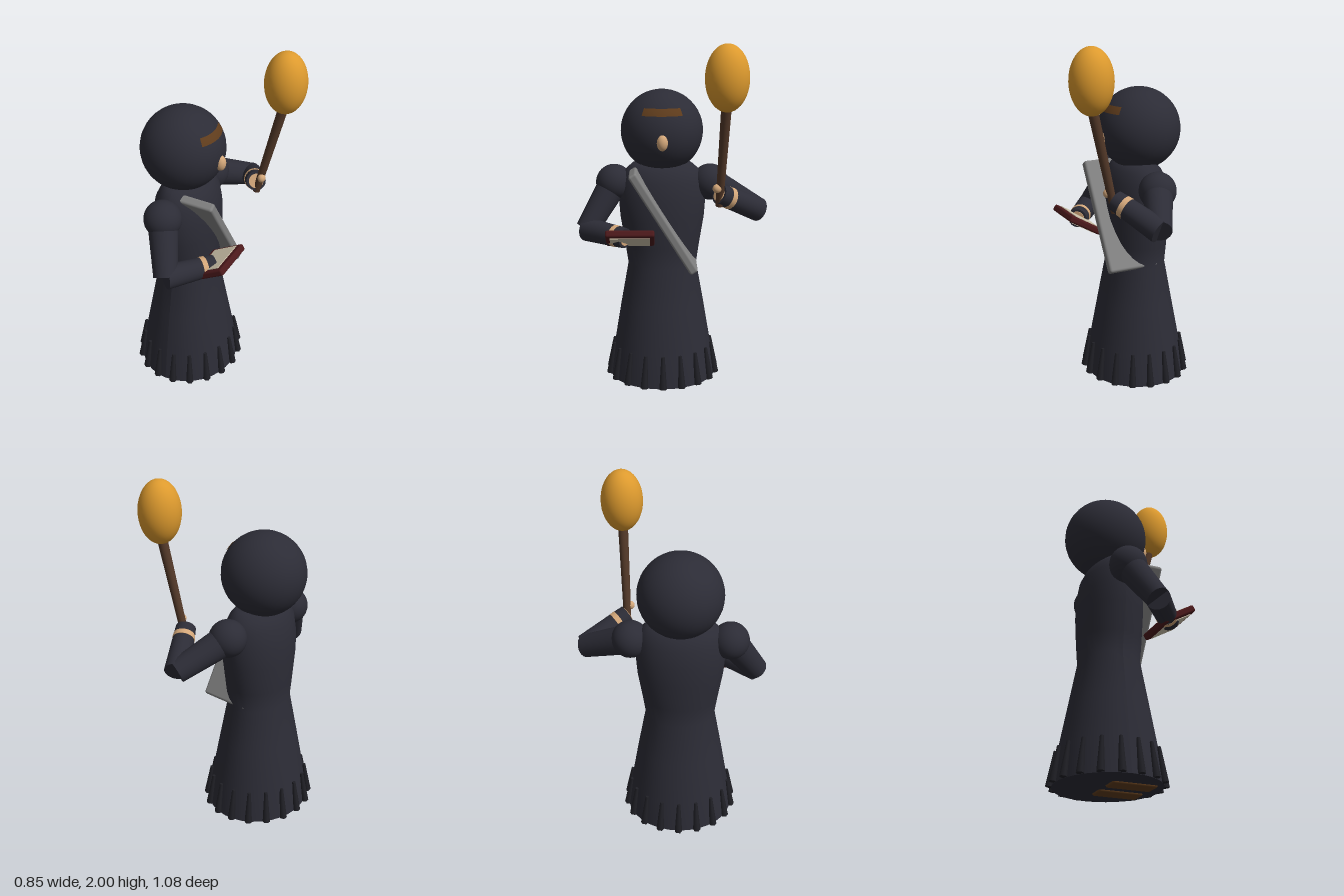
import * as THREE from 'three';
import { RoundedBoxGeometry } from 'three/addons/geometries/RoundedBoxGeometry.js';

const mat = (name, color, side = THREE.FrontSide) => {
  const m = new THREE.MeshStandardMaterial({ color, side });
  m.name = name;
  return m;
};

export function createModel() {
  const model = new THREE.Group();
  model.name = 'robedFigure';
  const cloth = mat('darkCloth', 0x2c2c36);
  const hemCloth = mat('hemCloth', 0x202026);
  const skin = mat('skin', 0xd2a679);
  const brown = mat('brown', 0x5f3c1c, THREE.DoubleSide);
  const wood = mat('wood', 0x523828);
  const amber = mat('amber', 0xdd9a2e);
  const grey = mat('grey', 0x808080);
  const red = mat('darkRed', 0x4c191b);
  const cream = mat('cream', 0xcfc4ac);

  const CX = -0.11, CZ = 0.047; // body axis

  const add = (name, geo, material, x = 0, y = 0, z = 0, parent = model) => {
    const mesh = new THREE.Mesh(geo, material);
    mesh.name = name;
    mesh.position.set(x, y, z);
    parent.add(mesh);
    return mesh;
  };
  const ellipsoid = (name, material, [x, y, z], [rx, ry, rz]) => {
    const geo = new THREE.SphereGeometry(1, 32, 24).scale(rx, ry, rz);
    return add(name, geo, material, x, y, z);
  };
  // tapered cylinder running from a to b
  const rod = (name, material, a, b, ra, rb, sides = 24) => {
    const from = new THREE.Vector3(...a), to = new THREE.Vector3(...b);
    const dir = to.clone().sub(from);
    const mesh = add(name, new THREE.CylinderGeometry(rb, ra, dir.length(), sides), material);
    mesh.position.copy(from).add(to).multiplyScalar(0.5);
    mesh.quaternion.setFromUnitVectors(new THREE.Vector3(0, 1, 0), dir.normalize());
    return mesh;
  };
  const mix = (a, b, t) => a.map((v, i) => v + (b[i] - v) * t);

  // Robe: turned profile [depth radius, y, x-to-z ratio], flattened ring by ring
  const rings = [
    [0.001, 0.012, 0.92], [0.315, 0.012, 0.92], [0.315, 0.012, 0.92], [0.287, 0.2, 0.92],
    [0.245, 0.45, 0.88], [0.2, 0.7, 0.84], [0.217, 0.82, 0.81], [0.243, 0.98, 0.745],
    [0.252, 1.1, 0.7], [0.24, 1.2, 0.66], [0.215, 1.26, 0.6], [0.17, 1.3, 0.55], [0.001, 1.31, 0.55],
  ];
  const segs = 32;
  const robeGeo = new THREE.LatheGeometry(rings.map(([r, y]) => new THREE.Vector2(r, y)), segs);
  const pos = robeGeo.attributes.position;
  for (let i = 0; i < pos.count; i++) {
    pos.setX(i, pos.getX(i) * rings[i % rings.length][2]);
  }
  robeGeo.computeVertexNormals();
  add('robe', robeGeo, cloth, CX, 0, CZ);

  // Tassels around the hem
  for (let i = 0; i < 18; i++) {
    const a = (i / 18) * Math.PI * 2, c = Math.cos(a), s = Math.sin(a);
    rod('hemTassel', hemCloth,
      [CX + 0.299 * c, 0.015, CZ + 0.32 * s],
      [CX + 0.272 * c, 0.205, CZ + 0.292 * s], 0.022, 0.01, 6);
  }

  // Feet
  for (const side of [-1, 1]) {
    add('foot', new RoundedBoxGeometry(0.25, 0.05, 0.11, 2, 0.012), brown, -0.015, 0.025, CZ + side * 0.093);
  }

  // Head, facing +x
  ellipsoid('head', cloth, [-0.135, 1.482, CZ], [0.236, 0.236, 0.236]);
  ellipsoid('nose', skin, [0.095, 1.447, CZ], [0.03, 0.045, 0.031]);
  add('fringe', new THREE.SphereGeometry(0.239, 20, 4, Math.PI - 0.56, 1.12, 0.9, 0.2), brown, -0.135, 1.482, CZ);

  // Arms: shoulder ball, two sleeve sections, bare wrist band, glove
  const arm = (name, shoulder, elbow, wrist) => {
    ellipsoid(name + 'Shoulder', cloth, shoulder, [0.105, 0.105, 0.105]);
    rod(name + 'UpperSleeve', cloth, shoulder, elbow, 0.085, 0.066);
    rod(name + 'Forearm', cloth, elbow, mix(elbow, wrist, 0.75), 0.068, 0.06);
    rod(name + 'WristBand', skin, mix(elbow, wrist, 0.72), mix(elbow, wrist, 0.82), 0.062, 0.061);
    rod(name + 'Glove', cloth, mix(elbow, wrist, 0.8), wrist, 0.06, 0.056);
    rod(name + 'Palm', skin, mix(elbow, wrist, 0.9), mix(elbow, wrist, 1.015), 0.044, 0.042);
  };
  arm('left', [CX, 1.185, CZ + 0.277], [-0.01, 0.93, 0.48], [0.165, 0.925, 0.255]);
  arm('right', [CX, 1.185, CZ - 0.277], [0.02, 1.05, -0.5], [0.165, 1.175, -0.265]);
  ellipsoid('thumb', skin, [0.205, 1.215, -0.25], [0.022, 0.025, 0.025]);

  // Raised torch
  rod('torchHandle', wood, [0.168, 1.11, -0.265], [0.302, 1.68, -0.286], 0.021, 0.028, 16);
  ellipsoid('torchHead', amber, [0.307, 1.823, -0.288], [0.117, 0.177, 0.117]);

  // Diagonal slab across the body
  const slab = add('diagonalSlab', new RoundedBoxGeometry(0.3, 0.67, 0.052, 2, 0.014), grey, -0.01, 0.99, 0.042);
  slab.rotation.x = 0.555;

  // Open-faced book, tilted upward
  const book = new THREE.Group();
  book.name = 'book';
  book.position.set(0.178, 0.928, 0.228);
  book.rotation.z = 0.53;
  model.add(book);
  add('bookCover', new RoundedBoxGeometry(0.215, 0.04, 0.27, 2, 0.012), red, 0, 0, 0, book);
  for (const side of [-1, 1]) {
    add('bookPage', new THREE.BoxGeometry(0.155, 0.008, 0.222), cream, 0, side * 0.02, 0, book);
  }

  return model;
}
